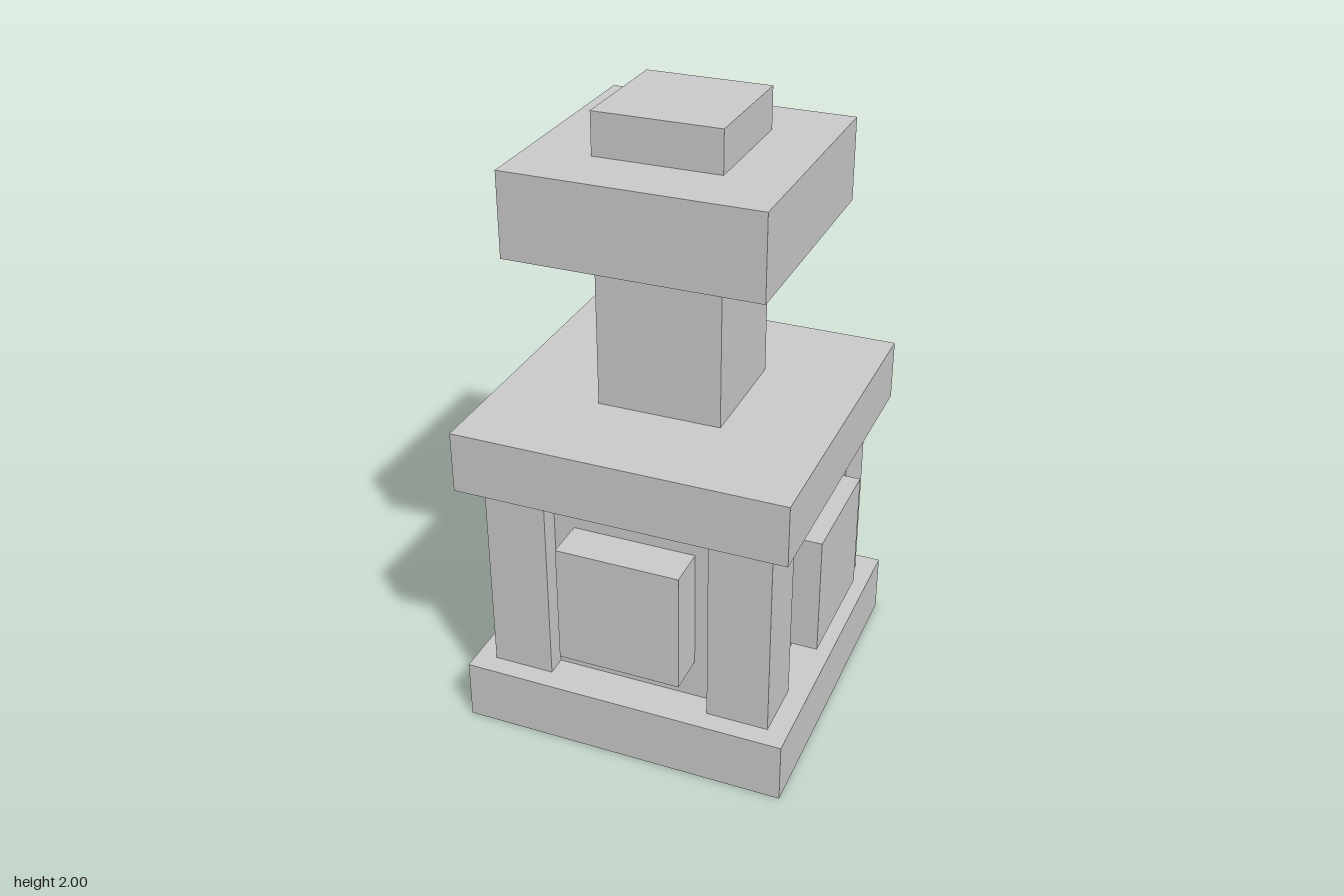
import * as THREE from 'three';

const U = 1 / 15; // block unit

export function createModel() {
  const model = new THREE.Group();
  model.name = 'pedestalTower';
  const material = new THREE.MeshStandardMaterial({ color: 0xcccccc, flatShading: true });

  // Box given by size and bottom height, in block units
  function block(name, w, h, d, x, bottom, z, parent = model) {
    const mesh = new THREE.Mesh(new THREE.BoxGeometry(w * U, h * U, d * U), material);
    mesh.position.set(x * U, (bottom + h / 2) * U, z * U);
    mesh.name = name;
    parent.add(mesh);
    return mesh;
  }

  // Central stack
  block('basePlate', 16, 3, 16, 0, 0, 0);
  block('core', 12, 10, 12, 0, 3, 0);
  block('upperPlate', 16, 3, 16, 0, 13, 0);
  block('column', 6, 8, 6, 0, 16, 0);
  block('capital', 12, 4, 12, 0, 24, 0);
  block('finial', 6, 2, 6, 0, 28, 0);

  // One corner pillar and one wall panel per side
  for (let i = 0; i < 4; i++) {
    const side = new THREE.Group();
    side.name = 'side' + (i + 1);
    side.rotation.y = i * Math.PI / 2;
    block('cornerPillar', 3, 10, 3, 5.5, 3, 5.5, side);
    block('wallPanel', 6, 6, 2, 0, 5, 7, side);
    model.add(side);
  }

  return model;
}
